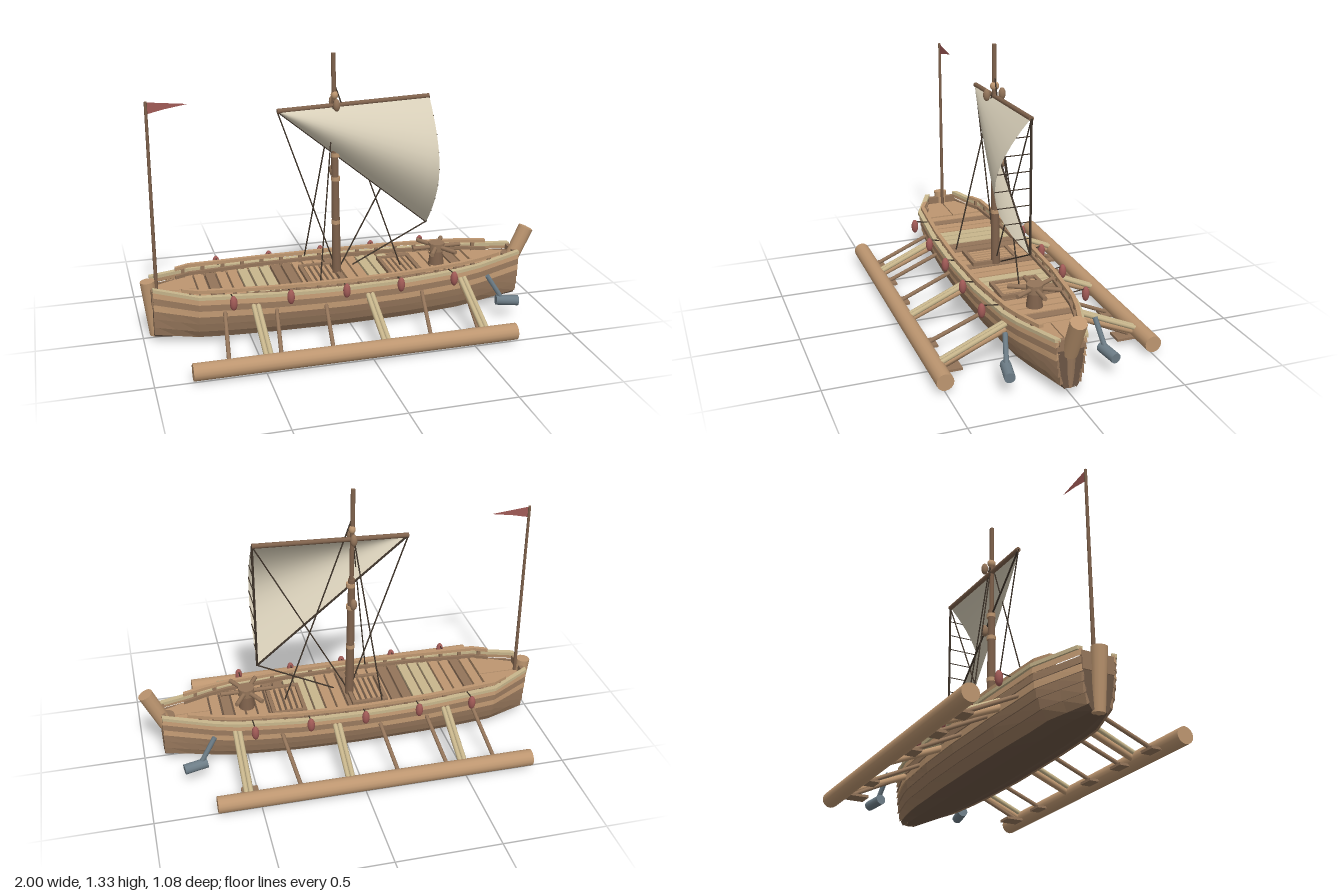
import * as THREE from 'three';

const V = (x, y, z) => new THREE.Vector3(x, y, z);
const mat = (name, color, side = THREE.FrontSide) => {
  const m = new THREE.MeshStandardMaterial({ color, side });
  m.name = name;
  return m;
};

// piecewise-linear lookup through [x, value] points
const lookup = (pts) => (x) => {
  for (let i = 1; i < pts.length; i++) {
    const [a, p] = pts[i - 1], [b, q] = pts[i];
    if (x <= b || i === pts.length - 1) return p + (q - p) * THREE.MathUtils.clamp((x - a) / (b - a), 0, 1);
  }
};
const halfWidth = lookup([[-0.95, 0.085], [-0.75, 0.185], [-0.4, 0.212], [-0.05, 0.22], [0.25, 0.21], [0.55, 0.178], [0.66, 0.15], [0.9, 0.068]]);
const sheer = lookup([[-0.95, 0.285], [-0.75, 0.265], [-0.3, 0.25], [0.3, 0.25], [0.66, 0.26], [0.9, 0.275]]);
const keel = lookup([[-0.95, 0.028], [-0.6, 0.013], [0, 0.008], [0.5, 0.013], [0.9, 0.04]]);
const STATIONS = [-0.95, -0.85, -0.75, -0.6, -0.4, -0.2, -0.05, 0.1, 0.25, 0.4, 0.55, 0.66, 0.78, 0.9];
// hull section: [share of half width, share of height]
const SECTION = [[0, 0], [0.3, 0.01], [0.6, 0.09], [0.77, 0.26], [0.86, 0.44], [0.92, 0.6], [0.95, 0.73], [0.97, 0.86], [0.98, 1]];
const hullPoint = (x, i, out = 0) => {
  const [w, h] = SECTION[i];
  return V(x, THREE.MathUtils.lerp(keel(x), sheer(x), h) - out * (1 - h) * 0.5, halfWidth(x) * w + out);
};

// capped flat-faced loft through rings lying along +x
function loft(rings) {
  const pos = [], n = rings[0].length;
  const tri = (...p) => p.forEach((v) => pos.push(v.x, v.y, v.z));
  for (let s = 0; s + 1 < rings.length; s++) {
    for (let j = 0; j < n; j++) {
      const k = (j + 1) % n, A = rings[s], B = rings[s + 1];
      tri(A[j], A[k], B[k]);
      tri(A[j], B[k], B[j]);
    }
  }
  const first = rings[0], last = rings[rings.length - 1];
  for (let j = 1; j + 1 < n; j++) {
    tri(first[0], first[j + 1], first[j]);
    tri(last[0], last[j], last[j + 1]);
  }
  const g = new THREE.BufferGeometry();
  g.setAttribute('position', new THREE.Float32BufferAttribute(pos, 3));
  g.computeVertexNormals();
  return g;
}
const mirrorRing = (ring) => ring.map((p) => V(p.x, p.y, -p.z)).reverse();

export function createModel() {
  const boat = new THREE.Group();
  boat.name = 'outriggerBoat';
  const light = mat('pale wood', 0xc8b68c), tan = mat('tan wood', 0xbd9670), brown = mat('brown wood', 0x94755a);
  const dark = mat('dark wood', 0x6b5544), spar = mat('spar wood', 0x7f624c), rope = mat('rope', 0x40352b);
  const cloth = mat('sailcloth', 0xd8cfb9, THREE.DoubleSide), red = mat('red', 0xa05a56);
  const redCloth = mat('red cloth', 0xa05a56, THREE.DoubleSide), iron = mat('iron', 0x6d7d87);

  const add = (name, geo, m, x = 0, y = 0, z = 0) => {
    const mesh = new THREE.Mesh(geo, m);
    mesh.name = name;
    mesh.position.set(x, y, z);
    boat.add(mesh);
    return mesh;
  };
  const box = (name, m, w, h, d, x, y, z) => add(name, new THREE.BoxGeometry(w, h, d), m, x, y, z);
  const rod = (name, m, a, b, r0, r1 = r0, sides = 12) => {
    const d = b.clone().sub(a);
    const mesh = add(name, new THREE.CylinderGeometry(r1, r0, d.length(), sides), m);
    mesh.position.copy(a).addScaledVector(d, 0.5);
    mesh.quaternion.setFromUnitVectors(V(0, 1, 0), d.normalize());
    return mesh;
  };
  const ball = (name, m, x, y, z, rx, ry, rz) => add(name, new THREE.SphereGeometry(1, 14, 10), m, x, y, z).scale.set(rx, ry, rz);
  const line = (name, a, b, r = 0.0035) => rod(name, rope, a, b, r, r, 6);
  const bothSides = (name, m, rings) => {
    add(name + 'Left', loft(rings), m);
    add(name + 'Right', loft(rings.map(mirrorRing)), m);
  };

  // Hull core up to deck level
  const DECK = 0.222;
  add('hullCore', loft(STATIONS.map((x) => {
    const side = [6, 5, 4, 3, 2, 1].map((i) => hullPoint(x, i, -0.006));
    side.unshift(V(x, DECK, halfWidth(x) * 0.92));
    return [...side, ...mirrorRing(side)];
  })), dark);

  // Lapped planking
  const strakeColors = [dark, dark, brown, brown, brown, tan, brown, tan];
  strakeColors.forEach((m, i) => bothSides('strake' + (i + 1), m, STATIONS.map((x) => [
    hullPoint(x, i + 1), hullPoint(x, i, i ? 0.008 : 0), hullPoint(x, i, i ? -0.008 : 0).setY(hullPoint(x, i).y + 0.008), hullPoint(x, i + 1, -0.012),
  ])));

  // Gunwale and raised rail follow the plan curve
  const railRing = (x, y, z, w, h) => [V(x, y + h, z + w), V(x, y - h, z + w), V(x, y - h, z - w), V(x, y + h, z - w)];
  bothSides('gunwale', light, STATIONS.map((x) => railRing(x, sheer(x), halfWidth(x) - 0.004, 0.013, 0.008)));
  const railY = (x) => 0.282 + 0.016 * x * x;
  const railX = [-0.82, ...STATIONS.slice(2, -1)];
  bothSides('upperRail', tan, railX.map((x) => railRing(x, railY(x), halfWidth(x) - 0.018, 0.01, 0.008)));
  bothSides('innerRail', brown, railX.map((x) => railRing(x, 0.252, halfWidth(x) - 0.028, 0.008, 0.008)));
  for (let x = -0.78; x < 0.77; x += 0.1) {
    for (const s of [1, -1]) box('railPost', brown, 0.018, 0.06, 0.012, x, 0.255, s * (halfWidth(x) - 0.02));
  }

  // Stem and stern posts
  rod('sternPost', tan, V(-0.94, 0.025, 0), V(-0.966, 0.3, 0), 0.028, 0.035);
  rod('stemLower', brown, V(0.872, 0.04, 0), V(0.872, 0.25, 0), 0.03, 0.037);
  rod('stemUpper', tan, V(0.882, 0.2, 0), V(0.966, 0.38, 0), 0.036, 0.038);
  box('sternTransom', brown, 0.02, 0.08, 0.15, -0.945, 0.235, 0);
  box('bowTransom', brown, 0.02, 0.08, 0.11, 0.89, 0.235, 0);

  // Deck planks across the beam, with fore and aft decks
  const plankColors = [tan, brown, light, tan, tan, brown, light, brown, tan, light, tan];
  const N = 25, step = 1.39 / N;
  for (let i = 0; i < N; i++) {
    const x = -0.73 + (i + 0.5) * step;
    const w = Math.min(halfWidth(x - step / 2), halfWidth(x + step / 2)) - 0.016;
    box('deckPlank', plankColors[(i * 7) % 11], step - 0.01, 0.014, 2 * w, x, DECK + 0.006, 0);
  }
  for (const [name, xs] of [['aftDeck', [-0.94, -0.75, -0.735]], ['foreDeck', [0.665, 0.78, 0.89]]]) {
    bothSides(name, tan, xs.map((x) => {
      const w = halfWidth(x) - 0.012;
      return [V(x, 0.238, w), V(x, 0.22, w), V(x, 0.22, 0.003), V(x, 0.238, 0.003)];
    }));
  }

  // Hatches with gratings
  for (const [x, w] of [[-0.12, 0.18], [0.285, 0.17]]) {
    for (const s of [1, -1]) {
      box('hatchSide', brown, 0.018, 0.026, 0.24, x + s * (w / 2 - 0.009), 0.24, 0);
      box('hatchEnd', brown, w, 0.026, 0.018, x, 0.24, s * 0.111);
    }
    box('hatchWell', dark, w - 0.02, 0.006, 0.21, x, 0.233, 0);
    for (let i = -2; i <= 2; i++) box('hatchBar', tan, 0.016, 0.014, 0.21, x + i * 0.028, 0.238, 0);
  }

  // Capstan
  rod('capstanDrum', spar, V(0.48, 0.22, 0), V(0.48, 0.31, 0), 0.042, 0.03);
  rod('capstanHead', brown, V(0.48, 0.305, 0), V(0.48, 0.346, 0), 0.04);
  for (let i = 0; i < 3; i++) {
    const c = Math.cos(i * Math.PI / 3) * 0.125, s = Math.sin(i * Math.PI / 3) * 0.125;
    rod('capstanBar', brown, V(0.48 - c, 0.325, -s), V(0.48 + c, 0.325, s), 0.011, 0.011, 8);
  }

  // Outriggers, fenders and bow weights on both sides
  for (const s of [1, -1]) {
    rod('outriggerFloat', tan, V(-0.83, 0.058, s * 0.5), V(0.705, 0.058, s * 0.5), 0.04, 0.04, 16);
    for (const x of [-0.485, 0.07, 0.555]) {
      for (const d of [-0.011, 0.011]) rod('outriggerBeam', light, V(x + d, 0.215, s * 0.17), V(x + d, 0.078, s * 0.48), 0.012, 0.012, 8);
      rod('lowerBeam', tan, V(x, 0.185, s * 0.17), V(x, 0.06, s * 0.47), 0.016, 0.016, 8);
    }
    for (const [x, d] of [[-0.66, 0.03], [-0.42, 0.035], [-0.175, 0.03], [0.3, 0.04], [0.54, 0.02]]) {
      rod('strut', brown, V(x, 0.045, s * 0.45), V(x + d, 0.18, s * 0.18), 0.01, 0.01, 8);
      box('strutPad', brown, 0.08, 0.012, x > 0.5 ? 0.09 : 0.05, x, 0.036, s * (x > 0.5 ? 0.425 : 0.445));
    }
    for (let i = 0; i < 5; i++) {
      const x = -0.6 + i * 0.27;
      ball('fender', red, x, 0.254, s * 0.256, 0.018, 0.036, 0.018);
      line('fenderRope', V(x, 0.28, s * 0.255), V(x, 0.27, s * (halfWidth(x) - 0.01)), 0.003);
    }
    rod('weightArm', iron, V(0.67, 0.23, s * 0.215), V(0.75, 0.1, s * 0.237), 0.012, 0.012, 8);
    rod('weight', iron, V(0.715, 0.102, s * 0.23), V(0.825, 0.094, s * 0.25), 0.025);
  }

  // Mast, yard and blocks
  rod('lowerMast', spar, V(-0.04, 0.21, 0), V(-0.05, 0.88, 0), 0.023, 0.017);
  rod('upperMast', spar, V(-0.048, 0.8, 0), V(-0.055, 1.34, 0), 0.011);
  for (const y of [0.5, 0.72, 0.84]) rod('mastBand', tan, V(-0.045, y, 0), V(-0.045, y + 0.02, 0), 0.022);
  const A = V(-0.325, 1.08, 0), B = V(0.42, 1.107, 0), C = V(0.42, 0.465, 0);
  rod('yard', spar, A, B, 0.012, 0.012, 10);
  for (const [y, z] of [[1.1, 0.04], [1.1, -0.038], [0.76, -0.038]]) ball('block', brown, -0.05, y, z, 0.017, 0.03, 0.017);
  ball('mastCollar', tan, -0.05, 1.14, 0, 0.017, 0.022, 0.022);

  // Billowing triangular sail, laced to a line down its free edge
  const sailPoint = (u, v) => {
    const p = A.clone().lerp(B, u).lerp(A.clone().lerp(C, u), v);
    p.z = 0.004 + 0.167 * Math.pow(u, 0.9) * Math.pow(Math.sin(Math.PI * v), 0.95);
    return p;
  };
  const sail = new THREE.PlaneGeometry(1, 1, 14, 12), sp = sail.attributes.position;
  for (let i = 0; i < sp.count; i++) {
    const p = sailPoint(sp.getX(i) + 0.5, 0.5 - sp.getY(i));
    sp.setXYZ(i, p.x, p.y, p.z);
  }
  sail.computeVertexNormals();
  add('sail', sail, cloth);
  line('sailEdgeLine', B, C, 0.006);
  line('sailFootLine', A, C, 0.005);
  for (let i = 1; i < 8; i++) {
    const p = sailPoint(1, i / 8);
    line('sailLacing', V(0.42, p.y, 0), p, 0.0025);
  }

  // Rigging
  for (const s of [1, -1]) line('shroud', V(-0.05, 1.15, 0), V(-0.165, 0.28, s * 0.165));
  line('stay', V(-0.045, 1.18, 0), V(0.29, 0.24, 0));
  line('yardBrace', A, V(-0.05, 0.28, 0));
  line('peakBrace', B, V(-0.02, 0.28, 0));
  line('sheetRope', C, V(0.04, 0.275, 0));

  // Stern flag
  rod('flagPole', spar, V(-0.925, 0.23, 0), V(-0.925, 1.165, 0), 0.009, 0.007, 8);
  const flag = new THREE.Shape([[-0.92, 1.162], [-0.92, 1.108], [-0.84, 1.126], [-0.735, 1.143]].map(([x, y]) => new THREE.Vector2(x, y)));
  add('flag', new THREE.ShapeGeometry(flag), redCloth);
  return boat;
}
